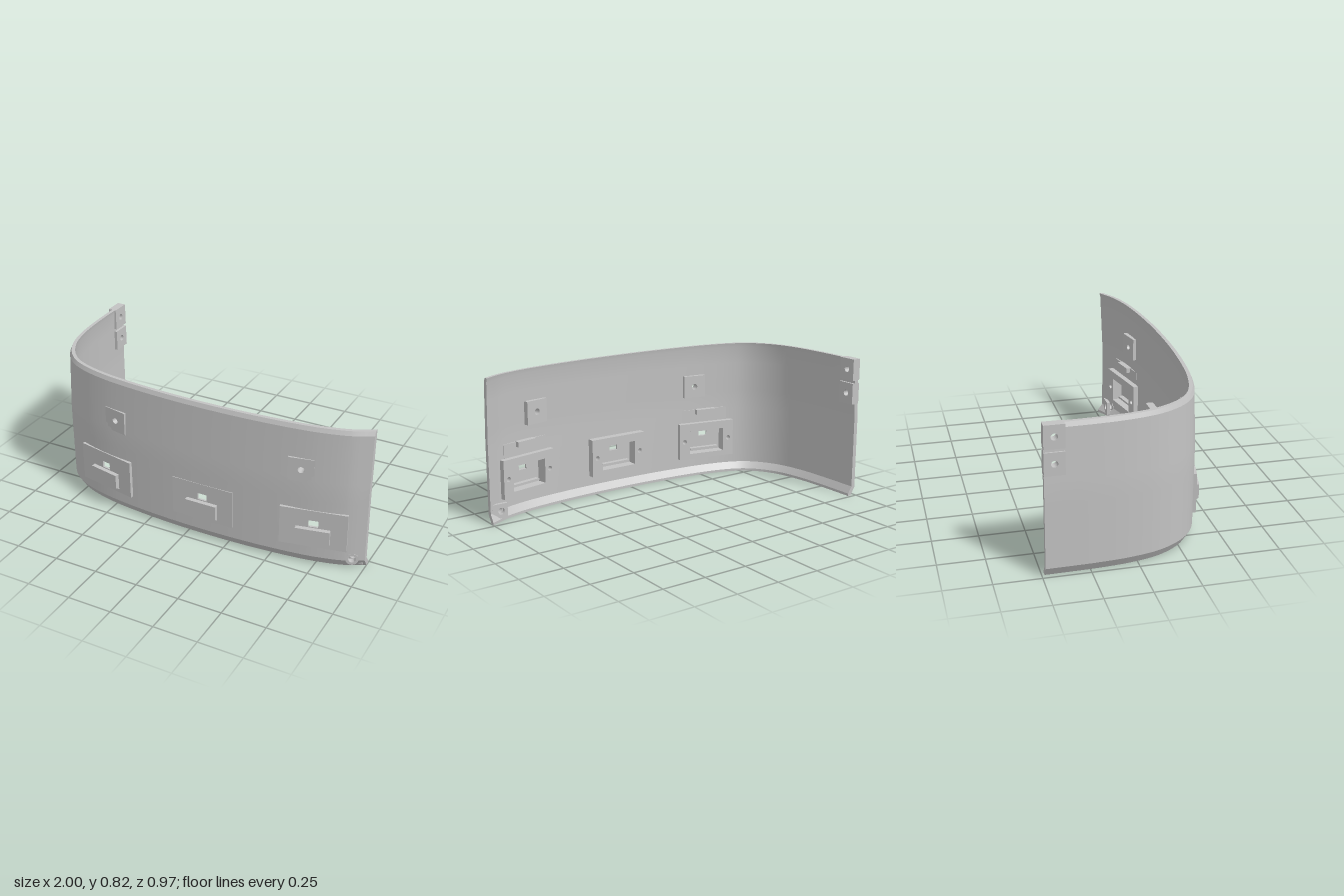
import * as THREE from 'three';
import { toCreasedNormals } from 'three/addons/utils/BufferGeometryUtils.js';

const grey = new THREE.MeshStandardMaterial({ color: 0xc2c2c2 });
grey.name = 'light grey plastic';

// Plan line of the outer face, from the rear of the side wing round to the front end
const path = new THREE.CatmullRomCurve3([
  [-1, -0.485], [-0.995, -0.2], [-0.98, -0.03], [-0.945, 0.12], [-0.88, 0.24], [-0.8, 0.32], [-0.7, 0.37],
  [-0.55, 0.41], [-0.4, 0.432], [-0.15, 0.452], [0.1, 0.458], [0.35, 0.452], [0.6, 0.432], [0.75, 0.41],
  [0.9, 0.37], [1, 0.32],
].map(([x, z]) => new THREE.Vector3(x, 0, z)), false, 'centripetal');

// Curve parameter at which one coordinate reaches a value
function findT(axis, value, lo = 0, hi = 1) {
  for (let k = 0; k < 40; k++) {
    const mid = (lo + hi) / 2;
    if (path.getPoint(mid)[axis] < value) lo = mid; else hi = mid;
  }
  return lo;
}

const housings = [[-0.54, 0.418, -0.2], [0.1, 0.46, 0], [0.738, 0.418, 0.2]]; // x, z, turn
const mounts = [[-0.46, 0.425, -0.2], [0.66, 0.425, 0.2]];

// Openings in the shell: x0, x1, y0, y1
const openings = [
  ...housings.map(([x]) => [x - 0.165, x + 0.165, 0.125, 0.33]),
  ...mounts.map(([x]) => [x - 0.055, x + 0.055, 0.52, 0.625]),
  [0.917, 0.963, 0.037, 0.083],
];
const tabZ = -0.38;
const tabs = [[0.557, 0.68], [0.697, 0.823]];

// Linear interpolation of an inset profile of [y, inset] pairs
function inset(profile, y) {
  for (let k = 1; k < profile.length; k++) {
    const [y0, d0] = profile[k - 1], [y1, d1] = profile[k];
    if (y <= y1) return d0 + (d1 - d0) * (y - y0) / (y1 - y0);
  }
  return profile[profile.length - 1][1];
}
const outerProfile = [[0, 0.03], [0.05, 0], [0.47, 0], [0.8, 0.013], [0.823, 0.023]];
const innerProfile = [[0, 0.05], [0.015, 0.05], [0.055, 0.025], [0.47, 0.025], [0.8, 0.038], [0.823, 0.043]];

function shellGeometry() {
  const fixed = [0, 1, findT('z', tabZ, 0, 0.3), ...openings.flatMap(o => [findT('x', o[0]), findT('x', o[1])])];
  const even = Array.from({ length: 72 }, (_, k) => k / 72).filter(t => fixed.every(f => Math.abs(f - t) > 0.004));
  const cols = [...fixed, ...even].sort((a, b) => a - b);
  const rows = [...new Set([0, 0.015, 0.05, 0.055, 0.2, 0.4, 0.47, 0.8, 0.823,
    ...openings.flatMap(o => [o[2], o[3]]), ...tabs.flat()])].sort((a, b) => a - b);

  const point = (profile, i, j) => {
    const p = path.getPoint(cols[i]), g = path.getTangent(cols[i]), d = inset(profile, rows[j]);
    if (i === cols.length - 1) return [1, rows[j], p.z - d / g.x]; // square-cut end
    return [p.x + g.z * d, rows[j], p.z - g.x * d];
  };
  const O = (i, j) => point(outerProfile, i, j), I = (i, j) => point(innerProfile, i, j);
  const solid = (i, j) => {
    if (i < 0 || j < 0 || i >= cols.length - 1 || j >= rows.length - 1) return false;
    const p = path.getPoint((cols[i] + cols[i + 1]) / 2), y = (rows[j] + rows[j + 1]) / 2;
    if (p.z < tabZ && tabs.some(([a, b]) => y > a && y < b)) return false;
    return !openings.some(o => p.x > o[0] && p.x < o[1] && y > o[2] && y < o[3]);
  };

  const pos = [];
  const quad = (a, b, c, d) => pos.push(...a, ...b, ...c, ...a, ...c, ...d);
  for (let i = 0; i < cols.length - 1; i++) {
    for (let j = 0; j < rows.length - 1; j++) {
      if (!solid(i, j)) continue;
      const c = [[i, j], [i + 1, j], [i + 1, j + 1], [i, j + 1]];
      quad(...c.map(k => O(...k)));
      quad(...c.map(k => I(...k)).reverse());
      // Walls along every free edge
      [[0, -1], [1, 0], [0, 1], [-1, 0]].forEach(([di, dj], k) => {
        if (solid(i + di, j + dj)) return;
        const a = c[k], b = c[(k + 1) % 4];
        quad(I(...a), I(...b), O(...b), O(...a));
      });
    }
  }
  const geo = new THREE.BufferGeometry();
  geo.setAttribute('position', new THREE.Float32BufferAttribute(pos, 3));
  return toCreasedNormals(geo, 0.3);
}

function mesh(name, geo, parent, x = 0, y = 0, z = 0) {
  const m = new THREE.Mesh(geo, grey);
  m.name = name;
  m.position.set(x, y, z);
  parent.add(m);
  return m;
}

function rectPath(Type, x0, x1, y0, y1) {
  return new Type([[x0, y0], [x1, y0], [x1, y1], [x0, y1]].map(p => new THREE.Vector2(...p)));
}
const roundHole = (x, y, r) => new THREE.Path().absarc(x, y, r, 0, Math.PI * 2, true);

// Plate centred on x and y with its front at z = 0
function plate(w, h, depth, holes) {
  const s = rectPath(THREE.Shape, -w / 2, w / 2, -h / 2, h / 2);
  s.holes.push(...holes);
  return new THREE.ExtrudeGeometry(s, { depth, bevelEnabled: false, curveSegments: 10 }).translate(0, 0, -depth);
}

function lampHousing([x, z, turn], withBracket) {
  const g = new THREE.Group();
  g.name = 'lampHousing';
  g.position.set(x, 0.2275, z);
  g.rotation.y = turn;
  mesh('facePlate', plate(0.365, 0.225, 0.012, [rectPath(THREE.Path, -0.027, 0.027, 0.013, 0.052)]), g);
  mesh('rearFrame', plate(0.365, 0.225, 0.062, [
    rectPath(THREE.Path, -0.115, 0.115, -0.08, 0.065), roundHole(-0.15, 0, 0.014), roundHole(0.15, 0, 0.014),
  ]), g, 0, 0, -0.012);
  // Inner walls around the pocket
  for (const y of [-0.06, 0.058]) mesh('pocketRib', new THREE.BoxGeometry(0.19, 0.012, 0.03), g, 0, y, -0.027);
  // Projecting hood with a sloped underside
  const hood = new THREE.Shape([[0, 0.008], [0.025, 0.008], [0.025, -0.073], [0, -0.09]].map(p => new THREE.Vector2(...p)));
  const hoodGeo = new THREE.ExtrudeGeometry(hood, { depth: 0.186, bevelEnabled: false });
  hoodGeo.translate(0, 0, -0.093).rotateY(-Math.PI / 2);
  mesh('hood', hoodGeo, g);
  if (withBracket) {
    mesh('bracketPlate', new THREE.BoxGeometry(0.3, 0.085, 0.012), g, 0, 0.15, -0.035);
    mesh('bracketBar', new THREE.BoxGeometry(0.13, 0.03, 0.04), g, 0, 0.18, -0.045);
  }
  return g;
}

export function createModel() {
  const model = new THREE.Group();
  model.name = 'curvedPanel';
  mesh('shell', shellGeometry(), model);

  housings.forEach((h, k) => model.add(lampHousing(h, k !== 1)));

  // Square mounts with a through hole
  for (const [x, z, turn] of mounts) {
    mesh('squareMount', plate(0.14, 0.135, 0.055, [roundHole(0, 0, 0.018)]), model, x, 0.572, z).rotation.y = turn;
  }

  // Fixing tabs at the rear of the side wing
  for (const [y0, y1] of tabs) {
    const tab = mesh('fixingTab', plate(0.107, y1 - y0, 0.05, [roundHole(0, 0, 0.018)]), model, -1, (y0 + y1) / 2, -0.4315);
    tab.rotation.y = -Math.PI / 2;
  }

  // Corner screw seat and the block behind it
  const seat = new THREE.Shape().absarc(0, 0, 0.035, 0, Math.PI * 2);
  seat.holes.push(roundHole(0, 0, 0.02));
  const seatGeo = new THREE.ExtrudeGeometry(seat, { depth: 0.03, bevelEnabled: false, curveSegments: 14 });
  mesh('screwSeat', seatGeo.translate(0, 0, -0.028), model, 0.94, 0.06, 0.352).rotation.y = 0.42;
  mesh('screwBlock', plate(0.095, 0.085, 0.02, [roundHole(-0.008, 0, 0.02)]), model, 0.94, 0.06, 0.318);
  return model;
}
